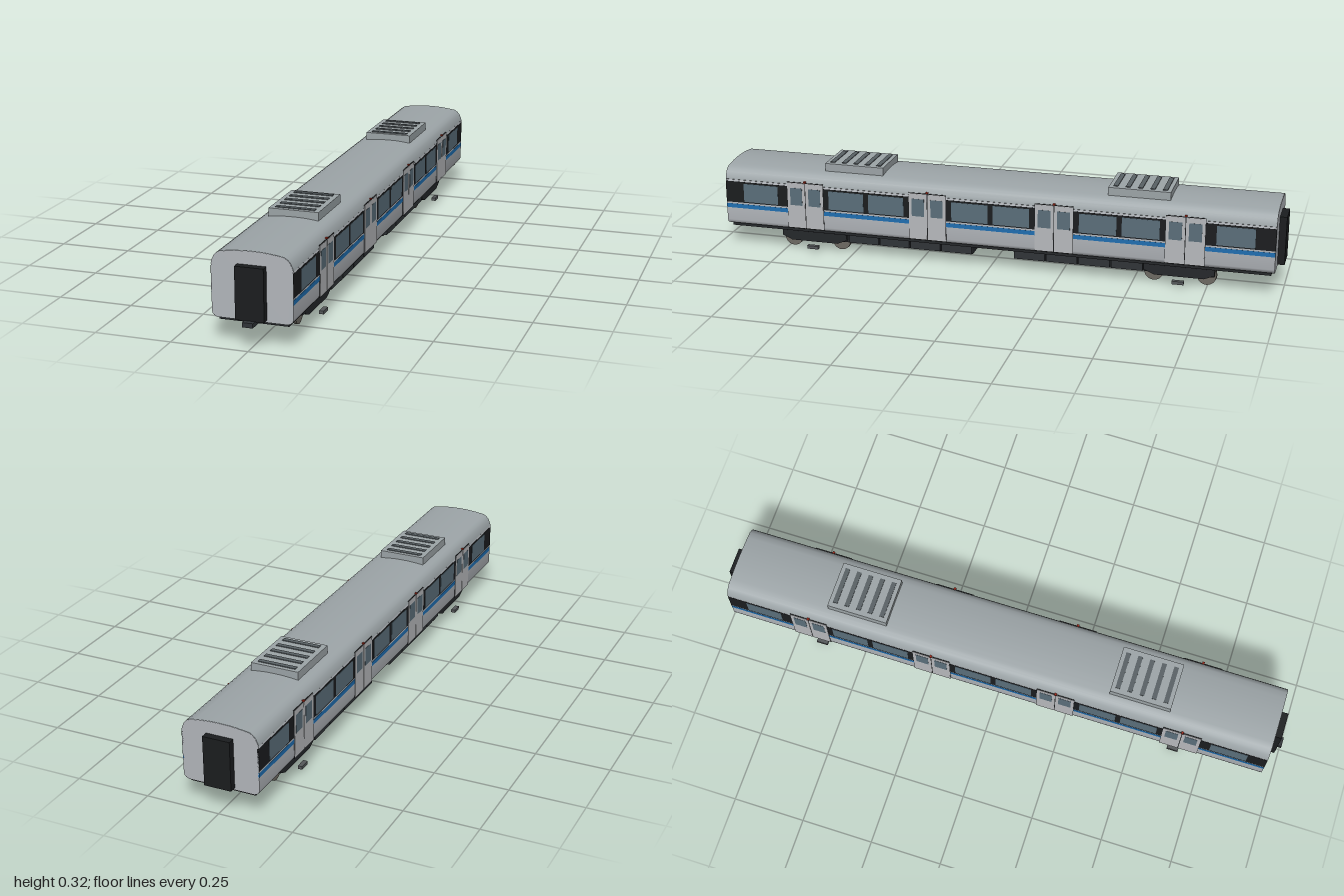
import * as THREE from 'three';
import { toCreasedNormals } from 'three/addons/utils/BufferGeometryUtils.js';

const mat = (color, side = THREE.FrontSide) => new THREE.MeshStandardMaterial({ color, side });
const M = {
  shell: mat(0xb3b7bc), roof: mat(0x9da5a8), door: mat(0xb8babd), black: mat(0x1b1d1f),
  glass: mat(0x5b6f7b), blue: mat(0x1f6fb2), frame: mat(0x25282b), equip: mat(0x303438),
  wheel: mat(0x6e6a63), shoe: mat(0x55585a), vent: mat(0x596165), lamp: mat(0xa02818),
};

function add(parent, name, geometry, material, x = 0, y = 0, z = 0) {
  const mesh = new THREE.Mesh(geometry, material);
  mesh.name = name;
  mesh.position.set(x, y, z);
  parent.add(mesh);
  return mesh;
}

// Box given by its limits on each axis
function block(parent, name, material, x0, x1, y0, y1, z0, z1) {
  const g = new THREE.BoxGeometry(x1 - x0, y1 - y0, z1 - z0);
  return add(parent, name, g, material, (x0 + x1) / 2, (y0 + y1) / 2, (z0 + z1) / 2);
}

// Extrude a cross-section in x,y along z, centred on z = 0
function extrudeSection(points, length) {
  const shape = new THREE.Shape(points.map(([x, y]) => new THREE.Vector2(x, y)));
  const g = new THREE.ExtrudeGeometry(shape, { depth: length, bevelEnabled: false });
  g.translate(0, 0, -length / 2);
  return toCreasedNormals(g, 0.6);
}

const HALF = 0.967;              // half length of the body
const SIDE = 0.13;               // half width of the body
const DOORS = [-0.669, -0.223, 0.223, 0.669];
const DOOR_HALF = 0.067;

// Right half of the roof arc, from the eaves to the crown
const ROOF = [[0.13, 0.25], [0.128, 0.258], [0.121, 0.274], [0.113, 0.283], [0.102, 0.29],
  [0.08, 0.2935], [0.055, 0.2965], [0.028, 0.2985], [0, 0.299]];
const mirrorX = (pts) => pts.map(([x, y]) => [-x, y]).reverse();

function buildBody(car) {
  const half = [[0.112, 0.082], [0.122, 0.086], [0.128, 0.092], [0.13, 0.1], ...ROOF];
  const section = [...half, ...mirrorX(half).slice(1)];
  add(car, 'bodyShell', extrudeSection(section, HALF * 2), M.shell);

  // Darker roof skin laid just over the shell
  const arc = [...ROOF, ...mirrorX(ROOF).slice(1)];
  const outer = arc.map(([x, y]) => [x * 1.006, y + 0.001]);
  add(car, 'roofSkin', extrudeSection([...outer, ...arc.slice().reverse()], HALF * 2 - 0.002), M.roof);
}

// One side wall's windows, stripe and doors; s is the sign of x
function buildSide(car, s) {
  const side = new THREE.Group();
  side.name = s > 0 ? 'leftSide' : 'rightSide';
  car.add(side);
  const panel = (name, m, out, y0, y1, z0, z1) => {
    const a = s * (SIDE - 0.004), b = s * (SIDE + out);
    return block(side, name, m, Math.min(a, b), Math.max(a, b), y0, y1, z0, z1);
  };

  // Wall bays between doors, plus both end bays
  const edges = [-HALF, ...DOORS.flatMap((d) => [d - DOOR_HALF, d + DOOR_HALF]), HALF];
  for (let i = 0; i < edges.length; i += 2) {
    const a = edges[i], b = edges[i + 1], mid = (a + b) / 2;
    panel('windowBand', M.black, 0.0008, 0.166, 0.243, a, b);
    panel('blueStripe', M.blue, 0.0008, 0.145, 0.16, a, b);
    const end = i === 0 ? -1 : i === edges.length - 2 ? 1 : 0;
    const centres = end ? [end * 0.836] : [mid - 0.073, mid + 0.073];
    for (const c of centres) panel('windowGlass', M.glass, 0.0016, 0.17, 0.237, c - 0.064, c + 0.064);
  }

  // Double sliding doors with lamp above
  for (const d of DOORS) {
    panel('doorSeam', M.black, 0.0008, 0.09, 0.259, d - DOOR_HALF, d + DOOR_HALF);
    for (const k of [-1, 1]) {
      const c = d + k * 0.0335;
      panel('doorLeaf', M.door, 0.002, 0.092, 0.257, c - 0.0322, c + 0.0322);
      panel('doorGlass', M.glass, 0.0026, 0.175, 0.238, c - 0.022, c + 0.022);
    }
    panel('doorLamp', M.lamp, 0.005, 0.26, 0.264, d - 0.004, d + 0.004);
  }
}

function buildRoofUnit(car, z) {
  const unit = new THREE.Group();
  unit.name = 'roofUnit';
  unit.position.z = z;
  car.add(unit);
  block(unit, 'unitHousing', M.roof, -0.083, 0.083, 0.285, 0.322, -0.106, 0.106);
  for (let i = -2; i <= 2; i++) {
    block(unit, 'unitLouvre', M.vent, -0.066, 0.066, 0.32, 0.3245, i * 0.042 - 0.008, i * 0.042 + 0.008);
  }
}

function buildBogie(car, z) {
  const bogie = new THREE.Group();
  bogie.name = 'bogie';
  bogie.position.z = z;
  car.add(bogie);
  // Tapered side frames
  const profile = [[-0.12, 0.066], [-0.12, 0.046], [-0.085, 0.031], [0.085, 0.031], [0.12, 0.046], [0.12, 0.066]];
  for (const s of [-1, 1]) {
    const g = extrudeSection(profile, 0.014);
    g.rotateY(Math.PI / 2);
    add(bogie, 'sideFrame', g, M.frame, s * 0.089);
    block(bogie, 'collectorShoe', M.shoe, s * 0.1135 - 0.0075, s * 0.1135 + 0.0075, 0.012, 0.023, -0.02, 0.02);
    for (const a of [-0.09, 0.09]) {
      const w = new THREE.CylinderGeometry(0.0325, 0.0325, 0.008, 24).rotateZ(Math.PI / 2);
      add(bogie, 'wheel', w, M.wheel, s * 0.062, 0.0325, a);
      const flange = new THREE.CylinderGeometry(0.0345, 0.0345, 0.002, 24).rotateZ(Math.PI / 2);
      add(bogie, 'wheelFlange', flange, M.wheel, s * 0.057, 0.0345, a);
    }
  }
  for (const a of [-0.09, 0.09]) {
    const axle = new THREE.CylinderGeometry(0.006, 0.006, 0.12, 12).rotateZ(Math.PI / 2);
    add(bogie, 'axle', axle, M.wheel, 0, 0.0325, a);
  }
}

function buildUnderside(car) {
  block(car, 'underframe', M.frame, -0.111, 0.111, 0.072, 0.084, -0.955, 0.955);
  for (const s of [-1, 1]) {
    const a = s * 0.075, b = s * 0.765;
    block(car, 'equipmentCase', M.frame, -0.084, 0.084, 0.036, 0.074, Math.min(a, b), Math.max(a, b));
    // Row of equipment boxes along each edge
    for (const x of [-1, 1]) {
      for (let i = 0; i < 4; i++) {
        const c = s * (0.13 + i * 0.113);
        block(car, 'equipmentBox', M.equip, x * 0.088 - 0.008, x * 0.088 + 0.008, 0.04, 0.072, c - 0.054, c + 0.054);
      }
    }
    buildBogie(car, s * 0.65 + 0.003);
  }
}

export function createModel() {
  const car = new THREE.Group();
  car.name = 'railCar';
  buildBody(car);
  for (const s of [-1, 1]) {
    buildSide(car, s);
    buildRoofUnit(car, s * 0.503);
    // Gangway bellows on each end
    const a = s * (HALF - 0.01), b = s * 0.991;
    block(car, 'gangway', M.black, -0.046, 0.046, 0.089, 0.257, Math.min(a, b), Math.max(a, b));
  }
  buildUnderside(car);
  block(car, 'coupler', M.equip, -0.017, 0.017, 0.075, 0.09, 0.93, 1.009);
  car.position.z = -0.009;
  const model = new THREE.Group();
  model.name = 'model';
  model.add(car);
  return model;
}
